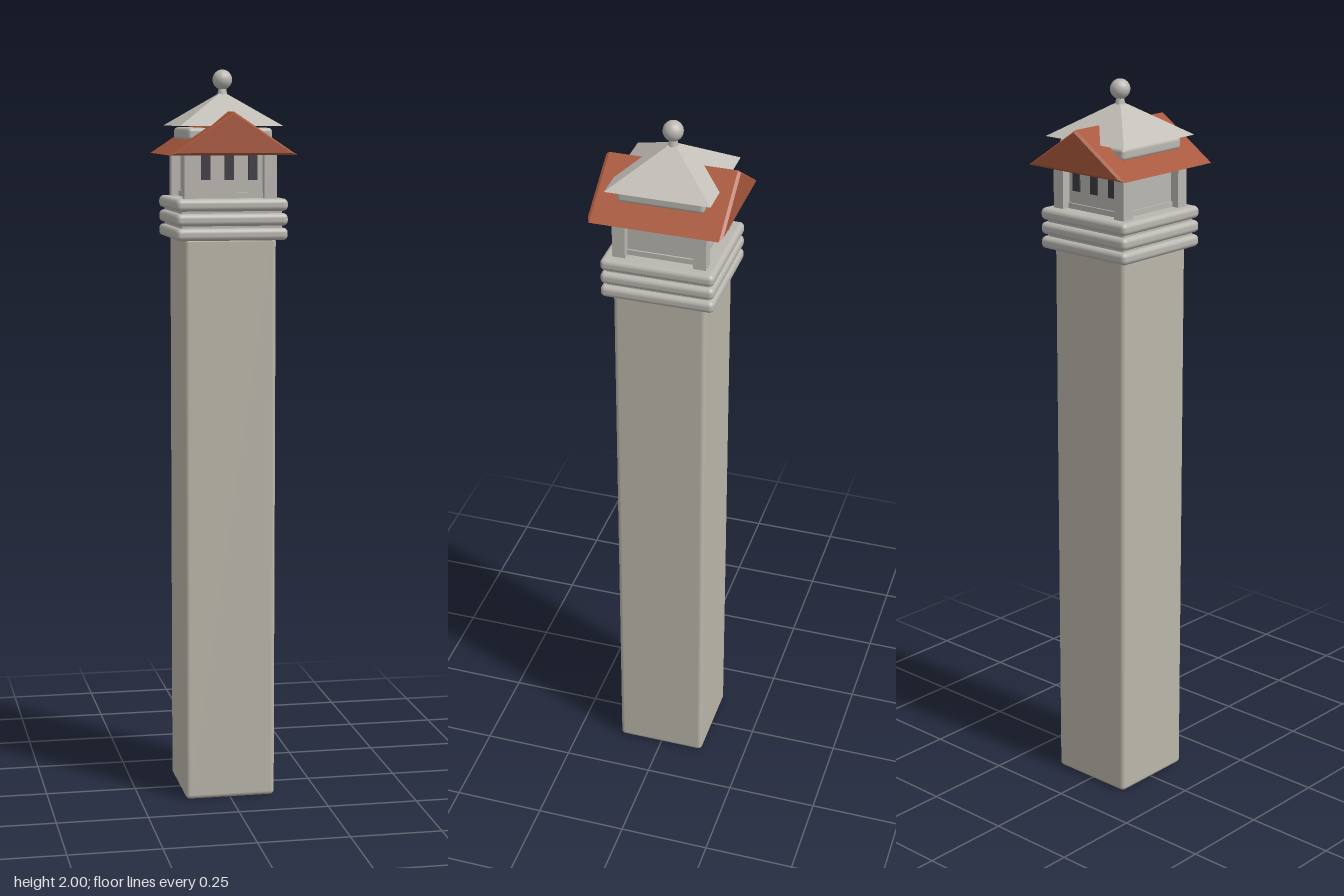
import * as THREE from 'three';
import { RoundedBoxGeometry } from 'three/addons/geometries/RoundedBoxGeometry.js';
import { ConvexGeometry } from 'three/addons/geometries/ConvexGeometry.js';

export function createModel() {
  const model = new THREE.Group();
  model.name = 'tower';

  const material = (name, color, flatShading = false) => {
    const m = new THREE.MeshStandardMaterial({ color, flatShading });
    m.name = name;
    return m;
  };
  const stone = material('stone', 0xbab6aa);
  const trim = material('paleTrim', 0xbab7b0);
  const tile = material('terracotta', 0xa8573b);
  const glass = material('darkOpening', 0x3c3a42);

  const add = (name, geometry, mat, x = 0, y = 0, z = 0) => {
    const mesh = new THREE.Mesh(geometry, mat);
    mesh.name = name;
    mesh.position.set(x, y, z);
    model.add(mesh);
    return mesh;
  };
  // Square rounded block from height y0 to y1
  const block = (name, half, y0, y1, radius, mat) =>
    add(name, new RoundedBoxGeometry(half * 2, y1 - y0, half * 2, 3, radius), mat, 0, (y0 + y1) / 2, 0);

  // Tall shaft
  block('shaft', 0.125, 0.005, 1.56, 0.012, stone).name = 'shaft';
  model.getObjectByName('shaft').position.y -= 0.005;

  // Stacked rounded cornice with recessed core
  block('corniceCore', 0.138, 1.55, 1.655, 0.006, trim);
  for (const y of [1.564, 1.603, 1.642]) {
    block('corniceRing', 0.152, y - 0.0165, y + 0.0165, 0.013, trim);
  }

  // Belfry chamber, sill and corner posts
  add('chamber', new THREE.BoxGeometry(0.2, 0.15, 0.2), trim, 0, 1.725, 0);
  add('sill', new THREE.BoxGeometry(0.21, 0.018, 0.21), trim, 0, 1.664, 0);
  for (const x of [-1, 1]) {
    for (const z of [-1, 1]) {
      add('cornerPost', new THREE.BoxGeometry(0.034, 0.135, 0.034), trim, x * 0.108, 1.72, z * 0.108);
    }
  }

  // Three openings on each gable side
  for (const side of [-1, 1]) {
    for (const x of [-0.064, 0, 0.064]) {
      add('opening', new THREE.BoxGeometry(0.025, 0.07, 0.006), glass, x, 1.742, side * 0.101);
    }
  }

  // Gabled roof with chamfered ends
  const points = [];
  for (const s of [-1, 1]) {
    for (const [w, low, high, z] of [[0.171, 1.774, 1.888, 0.17], [0.154, 1.78, 1.882, 0.178]]) {
      points.push(
        new THREE.Vector3(-w, low, s * z),
        new THREE.Vector3(w, low, s * z),
        new THREE.Vector3(0, high, s * z)
      );
    }
  }
  add('gableRoof', new ConvexGeometry(points), tile);

  // Lantern block carrying the pyramid cap
  block('lanternBase', 0.115, 1.812, 1.845, 0.01, trim);
  const pyramid = new THREE.ConeGeometry(0.139 * Math.SQRT2, 0.092, 4, 1);
  pyramid.rotateY(Math.PI / 4);
  add('pyramidCap', pyramid, material('capStone', 0xc2beb7, true), 0, 1.896, 0);

  // Ball finial
  add('finialNeck', new THREE.CylinderGeometry(0.01, 0.014, 0.02, 12), trim, 0, 1.942, 0);
  add('finialBall', new THREE.SphereGeometry(0.027, 16, 12), trim, 0, 1.973, 0);

  return model;
}
